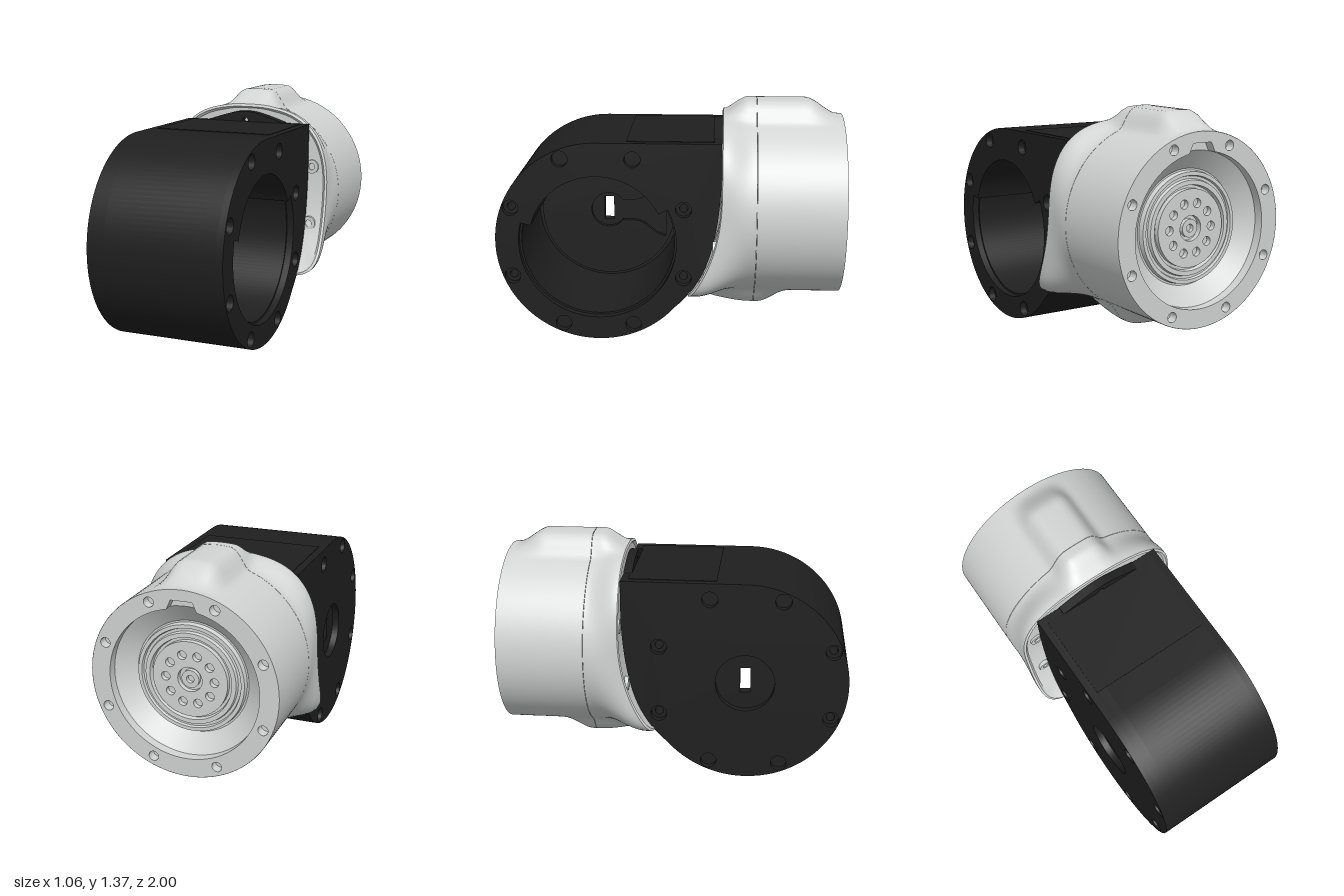
import * as THREE from 'three';
import { toCreasedNormals } from 'three/addons/utils/BufferGeometryUtils.js';

const black = new THREE.MeshStandardMaterial({ color: 0x1f1f1f });
black.name = 'black plastic';
const grey = new THREE.MeshStandardMaterial({ color: 0xd2d4d4, side: THREE.DoubleSide });
grey.name = 'light grey metal';

const DRUM = { u: -0.41, y: 0.59, r: 0.59 }; // drum centre, u = -z
const AXIS_Y = 0.74; // height of the motor axis
const CAN_R = 0.532;
const { smoothstep, lerp, clamp } = THREE.MathUtils;

function circle(x, y, r) {
  return new THREE.Path().absarc(x, y, r, 0, Math.PI * 2, false);
}
function polygon(points) {
  return new THREE.Shape(points.map(([x, y]) => new THREE.Vector2(x, y)));
}
function extrude(shape, depth) {
  const g = new THREE.ExtrudeGeometry(shape, { depth, bevelEnabled: false, curveSegments: 40 });
  return toCreasedNormals(g, 0.5);
}
function add(group, name, geometry, material, x = 0, y = 0, z = 0) {
  const mesh = new THREE.Mesh(geometry, material);
  mesh.name = name;
  mesh.position.set(x, y, z);
  group.add(mesh);
}
// Extrude a (u, y) profile across x
function addSlice(group, name, shape, x0, x1) {
  add(group, name, extrude(shape, x1 - x0).rotateY(Math.PI / 2), black, x0);
}

// Side outline of the drum with its square shoulder
function drumOutline() {
  const s = new THREE.Shape();
  s.moveTo(DRUM.u, 1.18);
  s.lineTo(0.3, 1.18);
  s.lineTo(0.3, 0.95);
  s.bezierCurveTo(0.28, 0.5, 0.18, 0.33, 0.035, 0.203);
  s.absarc(DRUM.u, DRUM.y, DRUM.r, -0.715, Math.PI / 2, true);
  return s;
}

// Stepped drum opening, narrower over the top
function drumOpening(r) {
  const a = 0.47, b = Math.PI - 0.26;
  const p = new THREE.Path();
  p.absarc(DRUM.u, DRUM.y, r, b, a + Math.PI * 2, false);
  p.absarc(DRUM.u, DRUM.y, 0.395, a, b, false);
  p.closePath();
  return p;
}

// Closed surface from rows of points round the motor axis
function loft(rows, pointAt, segments = 144) {
  const pos = [], index = [];
  for (let j = 0; j < rows.length; j++) {
    for (let i = 0; i < segments; i++) pos.push(...pointAt(i / segments * Math.PI * 2, rows[j]));
  }
  for (let j = 0; j < rows.length - 1; j++) {
    for (let i = 0; i < segments; i++) {
      const n = (i + 1) % segments;
      const a = j * segments + i, b = j * segments + n;
      const c = a + segments, d = b + segments;
      index.push(a, c, b, b, c, d);
    }
  }
  const g = new THREE.BufferGeometry();
  g.setAttribute('position', new THREE.Float32BufferAttribute(pos, 3));
  g.setIndex(index);
  return toCreasedNormals(g, 0.6);
}

// Front edge of the housing follows the drum
const frontEdge = (y) => 0.3 - 0.22 * Math.pow(clamp((0.95 - y) / 0.7, 0, 1.1), 2.5);

// Squarish outline of the housing front
function frontRadius(t) {
  const c = Math.abs(Math.cos(t)) / 0.52;
  const top = Math.sin(t) > 0;
  const s = Math.abs(Math.sin(t)) / (top ? 0.54 : 0.47);
  const n = top ? 2.8 : 8;
  return Math.pow(c ** n + s ** n, -1 / n);
}
// Raised ridges above and below the motor
function ridge(t, u) {
  const x = Math.abs(Math.cos(t)) * 0.56;
  if (Math.sin(t) > 0) {
    return 0.095 * (1 - smoothstep(x, 0.07, 0.2)) * smoothstep(u, 0.28, 0.46) * (1 - smoothstep(u, 0.78, 0.98));
  }
  const height = 0.055 + 0.025 * smoothstep(u, 0.1, 0.28);
  return height * (1 - smoothstep(x, 0.1, 0.27)) * (1 - smoothstep(u, 0.52, 0.72));
}

function buildDrum() {
  const g = new THREE.Group();
  g.name = 'drum';
  const bolts = [];
  for (let i = 0; i < 8; i++) {
    const a = (i + 0.5) * Math.PI / 4;
    bolts.push([DRUM.u + 0.537 * Math.cos(a), DRUM.y + 0.537 * Math.sin(a), Math.abs(Math.cos(a)) > 0.7]);
  }
  const slot = [[-0.44, 0.52], [-0.38, 0.52], [-0.38, 0.67], [-0.44, 0.67]];
  // Layers from the closed side to the open side; bolt heads sit in the outer layers
  const layers = [
    ['closedFace', -0.4, -0.36, circle(DRUM.u, DRUM.y, 0.17), true],
    ['innerWall', -0.36, -0.3, polygon(slot), false],
    ['drumRing', -0.3, 0.36, drumOpening(0.443), false],
    ['openFace', 0.36, 0.4, drumOpening(0.455), true],
  ];
  for (const [name, x0, x1, opening, outer] of layers) {
    const s = drumOutline();
    s.holes.push(opening);
    for (const [u, y, through] of bolts) {
      if (outer || through) s.holes.push(circle(u, y, outer ? 0.046 : 0.024));
    }
    addSlice(g, name, s, x0, x1);
  }

  // Floor plate with a flared cable channel
  const floor = new THREE.Shape().absarc(DRUM.u, DRUM.y, 0.42, 0, Math.PI * 2, false);
  const channel = new THREE.Path();
  channel.absarc(DRUM.u, DRUM.y, 0.11, 0.65, Math.PI * 2 - 0.65, false);
  for (const [u, y] of [[0.19, -0.07], [0.23, -0.09], [0.3, -0.15], [0.36, -0.17], [0.36, 0.17], [0.3, 0.15], [0.23, 0.09], [0.19, 0.07]]) {
    channel.lineTo(DRUM.u + u, DRUM.y + y);
  }
  channel.closePath();
  floor.holes.push(channel);
  addSlice(g, 'floorPlate', floor, -0.3, -0.27);

  // Top cover and the arched lip behind it
  add(g, 'topCover', new THREE.BoxGeometry(0.71, 0.008, 0.5), black, 0, 1.179, -0.01);
  const lip = new THREE.Shape();
  lip.moveTo(-0.26, 1.15);
  lip.lineTo(0.26, 1.15);
  lip.lineTo(0.25, 1.185);
  lip.bezierCurveTo(0.1, 1.235, 0.06, 1.245, 0, 1.245);
  lip.bezierCurveTo(-0.06, 1.245, -0.1, 1.235, -0.25, 1.185);
  lip.holes.push(circle(0, 1.188, 0.02));
  add(g, 'topLip', extrude(lip, 0.05), black, 0, 0, -0.301);
  return g;
}

function buildHousing() {
  const g = new THREE.Group();
  g.name = 'housing';
  // Each row is [scale, blend from the front outline to the round back]
  const rows = [[0.01, 0], [0.4, 0], [0.75, 0], [0.95, 0], [0.975, 0], [1, 0.03]];
  for (let i = 1; i <= 20; i++) rows.push([1, 0.03 + 0.97 * i / 20]);
  rows.push([0.93, 1]);
  const shell = loft(rows, (t, [k, v]) => {
    const front = frontRadius(t);
    const rimRadius = front + ridge(t, 0.05 + 0.23 * (Math.sin(t) > 0 ? 1 : 0));
    const recess = k < 0.96 && v === 0 ? 0.012 : 0;
    const u = lerp(frontEdge(AXIS_Y + k * rimRadius * Math.sin(t)), 0.4985, v) + recess;
    const r = k * (lerp(front, CAN_R, smoothstep(v, 0.1, 0.95)) + ridge(t, u));
    return [r * Math.cos(t), AXIS_Y + r * Math.sin(t), -u];
  });
  add(g, 'housingShell', shell, grey);

  // Screw bosses beside the drum
  const boss = new THREE.Shape().absarc(0, 0, 0.042, 0, Math.PI * 2, false);
  boss.holes.push(circle(0, 0, 0.02));
  const bossGeometry = extrude(boss, 0.06);
  for (const x of [-0.42, 0.42]) {
    for (const y of [0.575, 0.92]) add(g, 'screwBoss', bossGeometry, grey, x, y, -frontEdge(y) - 0.06);
  }
  return g;
}

function buildMotor() {
  const g = new THREE.Group();
  g.name = 'motor';
  const rows = [[0.93, 0.5005]];
  for (let i = 0; i <= 24; i++) rows.push([1, lerp(0.5005, 0.999, i / 24)]);
  const can = loft(rows, (t, [k, u]) => {
    const r = k * (CAN_R + ridge(t, u));
    return [r * Math.cos(t), AXIS_Y + r * Math.sin(t), -u];
  });
  add(g, 'motorCan', can, grey);

  // Rear rim with bolt holes and a notch at the top
  const rim = new THREE.Shape().absarc(0, 0, CAN_R - 0.001, 0, Math.PI * 2, false);
  const inner = new THREE.Path();
  inner.absarc(0, 0, 0.425, Math.PI / 2 + 0.2, Math.PI * 2.5 - 0.2, false);
  inner.lineTo(0.06, 0.47);
  inner.lineTo(-0.06, 0.47);
  inner.closePath();
  rim.holes.push(inner);
  for (let i = 0; i < 8; i++) {
    const a = (i + 0.5) * Math.PI / 4;
    rim.holes.push(circle(0.48 * Math.cos(a), 0.48 * Math.sin(a), 0.028));
  }
  add(g, 'rearRim', extrude(rim, 0.055), grey, 0, AXIS_Y, -1);

  // Conical recess stepping down to the output hub
  const profile = [[0.525, 0.945], [0.425, 0.945], [0.32, 0.87], [0.31, 0.87], [0.305, 0.9], [0.285, 0.9],
    [0.28, 0.885], [0.265, 0.885], [0.26, 0.905], [0.235, 0.905], [0.23, 0.88], [0, 0.88]];
  const recess = new THREE.LatheGeometry(profile.map(([r, h]) => new THREE.Vector2(r, h)), 96);
  add(g, 'rearRecess', toCreasedNormals(recess.rotateX(-Math.PI / 2), 0.3), grey, 0, AXIS_Y, 0);

  const hub = new THREE.Shape().absarc(0, 0, 0.215, 0, Math.PI * 2, false);
  hub.holes.push(circle(0, 0, 0.07));
  for (let i = 0; i < 10; i++) {
    const a = i * Math.PI / 5;
    hub.holes.push(circle(0.14 * Math.cos(a), 0.14 * Math.sin(a), 0.025));
  }
  add(g, 'outputHub', extrude(hub, 0.03), grey, 0, AXIS_Y, -0.91);
  const bush = new THREE.Shape().absarc(0, 0, 0.05, 0, Math.PI * 2, false);
  bush.holes.push(circle(0, 0, 0.022));
  add(g, 'hubBush', extrude(bush, 0.025), grey, 0, AXIS_Y, -0.905);
  return g;
}

export function createModel() {
  const model = new THREE.Group();
  model.name = 'actuatorJoint';
  model.add(buildDrum(), buildHousing(), buildMotor());
  return model;
}
